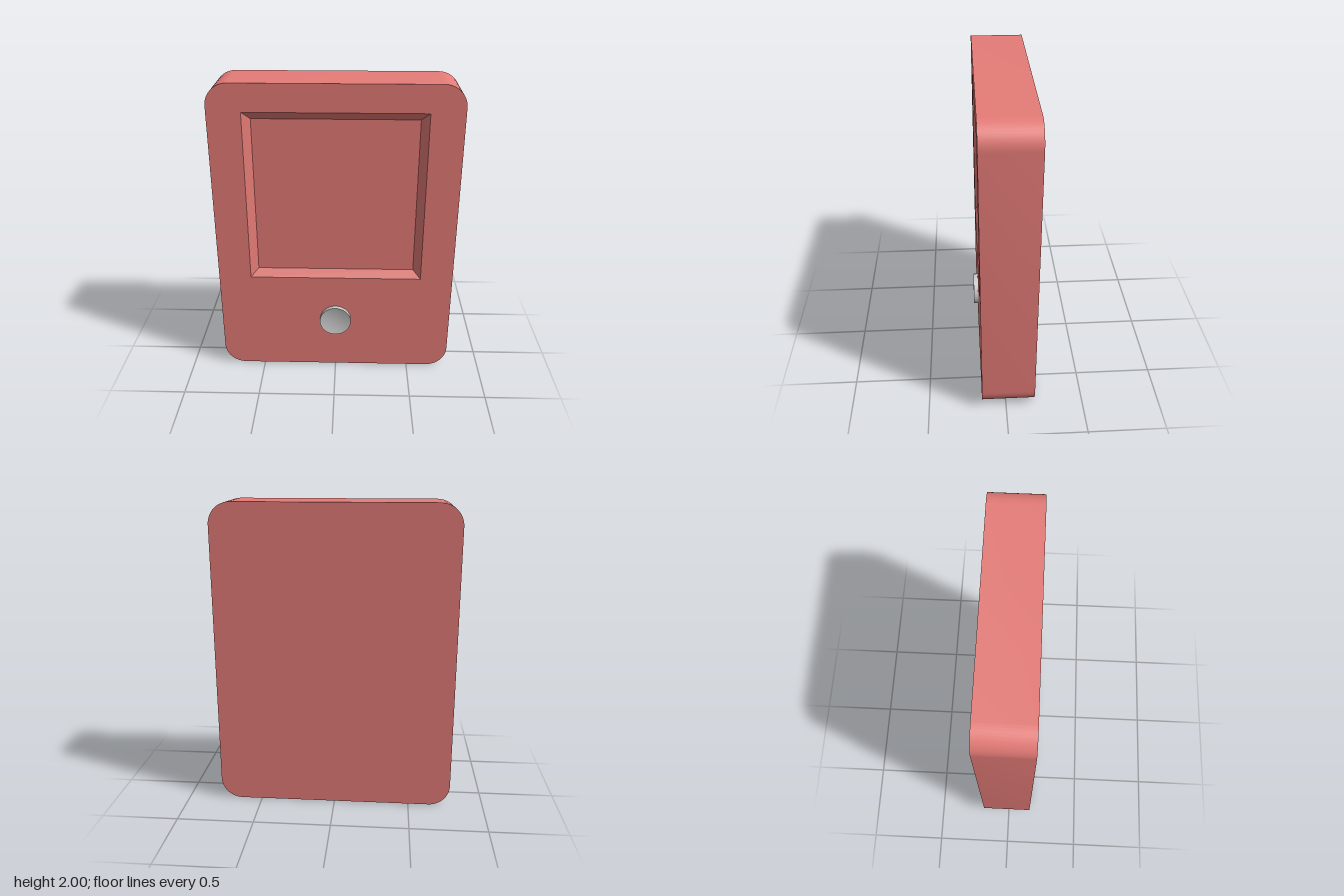
import * as THREE from 'three';
import { mergeGeometries, toCreasedNormals } from 'three/addons/utils/BufferGeometryUtils.js';

const W = 0.777, H = 2, R = 0.14;        // half width, height, corner radius
const BACK = -0.185, FRONT = 0.155, FLOOR = 0.115;

// Counter-clockwise outline of the rounded case
function roundedOutline(steps = 12) {
  const pts = [];
  const corners = [[W - R, H - R], [R - W, H - R], [R - W, R], [W - R, R]];
  corners.forEach(([cx, cy], c) => {
    for (let i = 0; i <= steps; i++) {
      const a = (c + i / steps) * Math.PI / 2;
      pts.push(new THREE.Vector2(cx + R * Math.cos(a), cy + R * Math.sin(a)));
    }
  });
  return pts;
}

// Counter-clockwise square around the screen centre
function square(half, cy = 1.26) {
  return [[1, 1], [-1, 1], [-1, -1], [1, -1]].map(([x, y]) => new THREE.Vector2(x * half, cy + y * half));
}

// Wall between two matching loops; faces outward when za < zb
function loft(a, za, b, zb) {
  const pos = [];
  a.forEach((p, i) => {
    const j = (i + 1) % a.length, q = a[j], s = b[i], t = b[j];
    pos.push(p.x, p.y, za, q.x, q.y, za, t.x, t.y, zb);
    pos.push(p.x, p.y, za, t.x, t.y, zb, s.x, s.y, zb);
  });
  return new THREE.BufferGeometry().setAttribute('position', new THREE.Float32BufferAttribute(pos, 3));
}

// Flat cap at depth z, optionally with a hole
function cap(loop, z, hole) {
  const shape = new THREE.Shape(loop);
  if (hole) shape.holes.push(new THREE.Path(hole));
  const geo = new THREE.ShapeGeometry(shape).toNonIndexed();
  geo.deleteAttribute('normal');
  geo.deleteAttribute('uv');
  return geo.translate(0, 0, z);
}

export function createModel() {
  const model = new THREE.Group();
  model.name = 'handheldDevice';

  // Case with a bevelled, recessed screen
  const outline = roundedOutline(), rim = square(0.565), screen = square(0.515);
  const caseGeometry = mergeGeometries([
    loft(outline, BACK, outline, FRONT),
    cap(outline, 0, null).rotateY(Math.PI).translate(0, 0, BACK),
    cap(outline, FRONT, rim),
    loft(rim, FRONT, screen, FLOOR),
    cap(screen, FLOOR),
  ]);
  const body = new THREE.Mesh(
    toCreasedNormals(caseGeometry, 0.4),
    new THREE.MeshStandardMaterial({ color: 0xe67c78 }),
  );
  body.name = 'case';
  model.add(body);

  // Round button with a shallow dished face
  const r = 0.105, height = 0.03, dish = 0.012;
  const profile = [new THREE.Vector2(r, -0.005)];
  for (let i = 8; i >= 0; i--) {
    const k = i / 8;
    profile.push(new THREE.Vector2(r * k, height - dish * (1 - k * k)));
  }
  const button = new THREE.Mesh(
    toCreasedNormals(new THREE.LatheGeometry(profile, 48), 0.5),
    new THREE.MeshStandardMaterial({ color: 0xcccccc }),
  );
  button.name = 'button';
  button.rotation.x = Math.PI / 2;
  button.position.set(0, 0.37, FRONT);
  model.add(button);

  return model;
}
